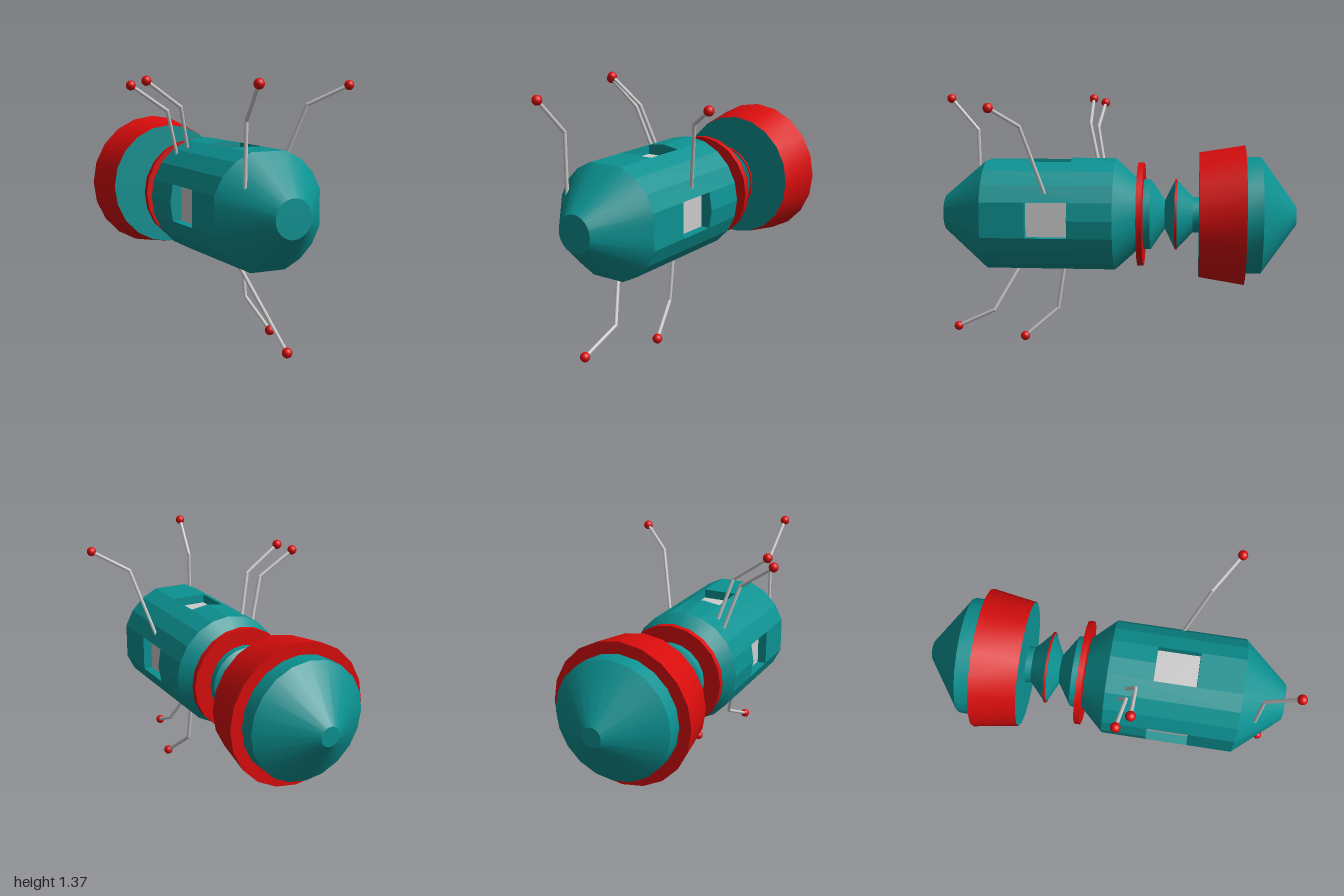
import * as THREE from 'three';
import { toCreasedNormals } from 'three/addons/utils/BufferGeometryUtils.js';

const TEAL = 0x0c9191, RED = 0xd80c0c, GREY = 0xcccccc;
const SIDES = 20, STEP = (Math.PI * 2) / SIDES;
const R = 0.315;                       // hull radius at the polygon corners
const FLAT = R * Math.cos(STEP);       // distance of the four flat side panels
const HALF = R * Math.sin(STEP);       // half width of those panels
const W0 = 0.245, W1 = 0.475, HULL_END = 0.72, FLOOR = 0.25;

const material = (color) => new THREE.MeshStandardMaterial({ color, side: THREE.DoubleSide });
const mats = { teal: material(TEAL), red: material(RED), grey: material(GREY) };

function add(parent, name, geometry, mat) {
  const mesh = new THREE.Mesh(geometry, mat);
  mesh.name = name;
  parent.add(mesh);
  return mesh;
}

// Turned part about the z axis; profile of [radius, z] with z rising
function turned(parent, name, profile, mat, sides = SIDES) {
  const g = new THREE.LatheGeometry(profile.map(([r, z]) => new THREE.Vector2(r, z)), sides);
  g.rotateX(Math.PI / 2);
  return add(parent, name, toCreasedNormals(g, 0.4), mat);
}

// Separate four-cornered faces, corners anticlockwise from outside
function faces(quads) {
  const pos = [];
  for (const [a, b, c, d] of quads) pos.push(...a, ...b, ...c, ...a, ...c, ...d);
  const g = new THREE.BufferGeometry();
  g.setAttribute('position', new THREE.Float32BufferAttribute(pos, 3));
  g.computeVertexNormals();
  return g;
}

const polar = (a, r, z) => [Math.cos(a) * r, Math.sin(a) * r, z];

// Faceted hull, cut back where the four panels lie
function hullGeometry() {
  const quads = [];
  for (let k = 0; k < SIDES; k++) {
    const a = k * STEP, b = a + STEP;
    const end = k % 5 === 0 || k % 5 === 4 ? W0 : HULL_END;
    quads.push([polar(a, R, 0), polar(b, R, 0), polar(b, R, end), polar(a, R, end)]);
  }
  return faces(quads);
}

// Flat panel, step and recess walls of one window, facing +x
function panelGeometry() {
  const p = (x, y, z) => [x, y, z];
  const quads = [
    [p(FLAT, -HALF, W1), p(FLAT, HALF, W1), p(FLAT, HALF, HULL_END), p(FLAT, -HALF, HULL_END)],
    [p(FLAT, -HALF, W0), p(R, 0, W0), p(R, 0, W0), p(FLAT, HALF, W0)],
    [p(FLOOR, -HALF, W0), p(FLAT, -HALF, W0), p(FLAT, HALF, W0), p(FLOOR, HALF, W0)],
    [p(FLOOR, HALF, W1), p(FLAT, HALF, W1), p(FLAT, -HALF, W1), p(FLOOR, -HALF, W1)],
    [p(FLOOR, -HALF, W1), p(FLAT, -HALF, W1), p(FLAT, -HALF, W0), p(FLOOR, -HALF, W0)],
    [p(FLOOR, HALF, W0), p(FLAT, HALF, W0), p(FLAT, HALF, W1), p(FLOOR, HALF, W1)],
  ];
  return faces(quads);
}

// Nose blending from the hull outline to a round tip
function noseGeometry() {
  const n = SIDES * 2, half = STEP / 2, quads = [];
  const base = (i) => {
    const m = ((i % 10) + 10) % 10, d = Math.min(m, 10 - m);
    if (d <= 2) return FLAT / Math.cos(d * half);
    return d % 2 ? R * Math.cos(half) : R;
  };
  for (let i = 0; i < n; i++) {
    const a = i * half, b = a + half;
    quads.push([polar(a, base(i), HULL_END), polar(b, base(i + 1), HULL_END),
      polar(b, 0.1, 0.965), polar(a, 0.1, 0.965)]);
  }
  return toCreasedNormals(faces(quads), 0.4);
}

// Bent rod with a ball on its end
function antenna(parent, points) {
  const g = new THREE.Group();
  g.name = 'antenna';
  const [base, elbow, tip] = points.map((p) => new THREE.Vector3(...p));
  for (const [from, to] of [[base, elbow], [elbow, tip]]) {
    const dir = to.clone().sub(from);
    const rod = add(g, 'antennaRod', new THREE.CylinderGeometry(0.01, 0.01, dir.length(), 8), mats.grey);
    rod.position.copy(from).addScaledVector(dir, 0.5);
    rod.quaternion.setFromUnitVectors(new THREE.Vector3(0, 1, 0), dir.normalize());
  }
  add(g, 'antennaElbow', new THREE.SphereGeometry(0.01, 8, 6), mats.grey).position.copy(elbow);
  add(g, 'antennaBall', new THREE.SphereGeometry(0.026, 20, 14), mats.red).position.copy(tip);
  parent.add(g);
}

export function createModel() {
  const model = new THREE.Group();
  model.name = 'spacecraft';
  const body = new THREE.Group();
  body.name = 'body';
  body.position.set(-0.04, 0.707, 0);
  model.add(body);

  // Main hull with nose and four recessed windows
  add(body, 'hull', hullGeometry(), mats.teal);
  add(body, 'nose', noseGeometry(), mats.teal);
  add(body, 'noseTip', new THREE.CircleGeometry(0.1, 40), mats.teal).position.z = 0.965;
  for (let i = 0; i < 4; i++) {
    const side = new THREE.Group();
    side.name = 'windowBay';
    side.rotation.z = (i * Math.PI) / 2;
    add(side, 'windowPanel', panelGeometry(), mats.teal);
    const pane = add(side, 'windowPane', new THREE.BoxGeometry(0.01, HALF * 2, W1 - W0), mats.grey);
    pane.position.set(FLOOR - 0.005, 0, (W0 + W1) / 2);
    body.add(side);
  }
  turned(body, 'hullRear', [[0, -0.125], [0.2, -0.125], [R, 0]], mats.teal);

  // Collar and double-cone coupling
  turned(body, 'collarRing', [[0, -0.158], [0.29, -0.158], [0.29, -0.125], [0, -0.125]], mats.red);
  turned(body, 'collar', [[0, -0.275], [0.08, -0.275], [0.197, -0.197], [0.197, -0.155]], mats.teal);
  turned(body, 'couplingFront', [[0.195, -0.332], [0.08, -0.275], [0, -0.275]], mats.teal);
  turned(body, 'couplingRing', [[0.19, -0.343], [0.199, -0.343], [0.199, -0.331], [0.19, -0.331]], mats.red);
  turned(body, 'couplingRear', [[0.1, -0.465], [0.1, -0.43], [0.195, -0.342]], mats.teal);

  // Flared rear section
  turned(body, 'rearBulkhead', [[0.35, -0.465], [0, -0.465]], mats.teal);
  turned(body, 'flaredBand', [[0.325, -0.715], [0.39, -0.715], [0.35, -0.465]], mats.red);
  turned(body, 'rearDome', [[0, -1], [0.053, -1], [0.325, -0.805], [0.325, -0.715]], mats.teal);

  // Antennas: base, elbow, tip
  const antennas = [
    [[-0.22, 0.83, 0.81], [-0.217, 1.165, 0.815], [-0.24, 1.345, 0.975]],
    [[-0.24, 0.94, 0.08], [-0.315, 1.18, 0.125], [-0.51, 1.315, 0.1]],
    [[-0.19, 0.97, 0.11], [-0.255, 1.2, 0.165], [-0.45, 1.34, 0.165]],
    [[0.23, 0.85, 0.365], [0.33, 1.215, 0.48], [0.503, 1.317, 0.607]],
    [[-0.11, 0.41, 0.55], [-0.015, 0.145, 0.7], [-0.04, 0.042, 0.915]],
    [[0.05, 0.41, 0.285], [0.053, 0.18, 0.32], [0.103, 0.03, 0.5]],
  ];
  antennas.forEach((points) => antenna(model, points));
  return model;
}
